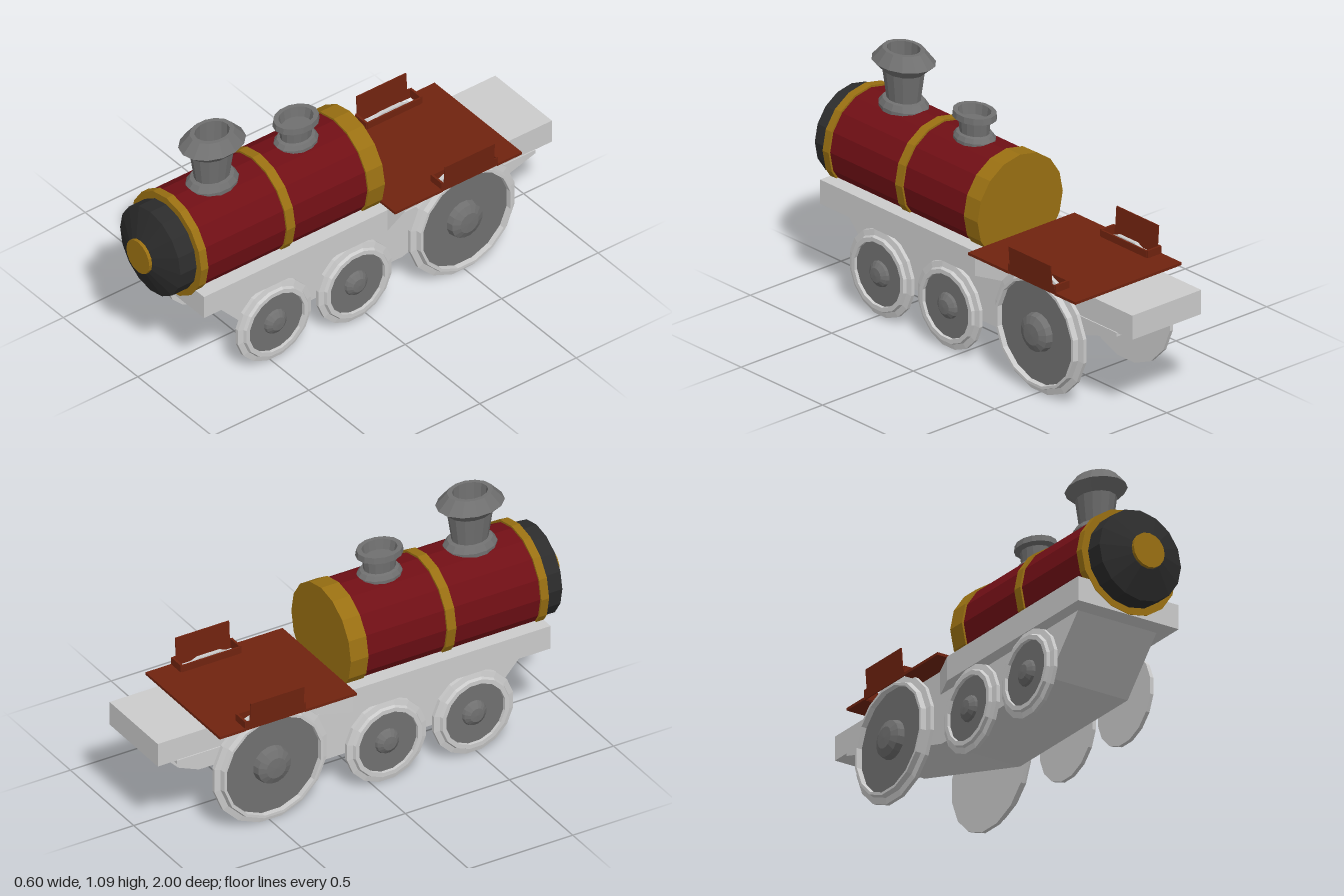
import * as THREE from 'three';

const mat = (color) => new THREE.MeshStandardMaterial({ color, flatShading: true, side: THREE.DoubleSide });
const GREY = mat(0xcccccc);
const DARK = mat(0x707070);
const BLACK = mat(0x2c2c2c);
const RED = mat(0x700f15);
const GOLD = mat(0x9a7012);
const RUST = mat(0x70230f);

const pts = (list) => list.map(([a, b]) => new THREE.Vector2(a, b));

function add(parent, name, geometry, material) {
  const mesh = new THREE.Mesh(geometry, material);
  mesh.name = name;
  parent.add(mesh);
  return mesh;
}

const lathe = (list, sides, start = 0) => new THREE.LatheGeometry(pts(list), sides, start);

// Horizontal plate: outline in (x, z), from height y up by h
function plate(outline, y, h) {
  const shape = new THREE.Shape(pts(outline.map(([x, z]) => [x, -z])));
  return new THREE.ExtrudeGeometry(shape, { depth: h, bevelEnabled: false }).rotateX(-Math.PI / 2).translate(0, y, 0);
}

// Side profile: outline in (z, y), spanning x0 to x1
function sideProfile(outline, x0, x1) {
  return new THREE.ExtrudeGeometry(new THREE.Shape(pts(outline)), { depth: x1 - x0, bevelEnabled: false })
    .rotateY(-Math.PI / 2).translate(x1, 0, 0);
}

// Outline of one half (+x), completed by its mirror image
const mirrored = (half) => [...half, ...half.map(([x, z]) => [-x, z]).reverse()];

// Round part along z, centred on the boiler axis
const AXIS_Y = 0.625;
const onAxis = (profile) => lathe(profile, 16).rotateX(Math.PI / 2).translate(0, AXIS_Y, 0);

function buildBoiler() {
  const g = new THREE.Group();
  g.name = 'boiler';
  add(g, 'boilerBarrel', onAxis([[0, -0.09], [0.226, -0.09], [0.226, 0.84], [0, 0.84]]), RED);
  for (const [z0, z1] of [[0.815, 0.852], [0.364, 0.407], [-0.1, -0.015]]) {
    add(g, 'boilerBand', onAxis([[0, z0], [0.235, z0], [0.235, z1], [0, z1]]), GOLD);
  }
  add(g, 'smokebox', onAxis([[0.203, 0.84], [0.203, 0.935], [0.08, 0.985], [0, 0.985]]), BLACK);
  add(g, 'smokeboxHub', onAxis([[0.077, 0.97], [0.077, 1], [0, 1]]), GOLD);

  // Funnel and steam dome are oval, longer along z
  const funnel = add(g, 'funnel', lathe([
    [0.094, 0.8], [0.094, 0.848], [0.079, 0.872], [0.064, 0.875], [0.079, 1.0],
    [0.119, 1.043], [0.079, 1.097], [0.062, 1.097], [0.056, 0.95], [0, 0.95],
  ], 14), DARK);
  funnel.scale.z = 1.27;
  funnel.position.z = 0.615;
  const dome = add(g, 'steamDome', lathe([
    [0.079, 0.8], [0.079, 0.85], [0.068, 0.868], [0.056, 0.872], [0.06, 0.93],
    [0.083, 0.938], [0.08, 0.965], [0.062, 0.965], [0.054, 0.92], [0, 0.92],
  ], 14), DARK);
  dome.scale.z = 1.27;
  dome.position.z = 0.18;
  return g;
}

// Wheel facing +x: flange, tread, recessed disc and domed hub
function buildWheel({ r, tread, inner, hub, face, tip }) {
  const g = new THREE.Group();
  g.name = 'wheel';
  const turn = (profile) => lathe(profile, 16, Math.PI / 16).rotateZ(-Math.PI / 2);
  add(g, 'wheelRim', turn([
    [0, 0.23], [r, 0.23], [r, 0.247], [tread, 0.252], [tread - 0.006, face], [inner, face], [inner, 0.245],
  ]), GREY);
  add(g, 'wheelDisc', turn([[inner, 0.25], [0, 0.25]]), DARK);
  add(g, 'wheelHub', turn([
    [hub, 0.25], [hub * 0.92, tip - 0.017], [hub * 0.55, tip - 0.002], [0, tip],
  ]), DARK);
  return g;
}

function buildWheels() {
  const g = new THREE.Group();
  g.name = 'wheels';
  const big = { r: 0.275, tread: 0.248, inner: 0.23, hub: 0.086, face: 0.275, tip: 0.296 };
  const small = { r: 0.193, tread: 0.168, inner: 0.143, hub: 0.058, face: 0.265, tip: 0.278 };
  for (const [spec, y, z] of [[big, 0.272, -0.493], [small, 0.2, 0.064], [small, 0.2, 0.482]]) {
    for (const turn of [0, Math.PI]) {
      const wheel = buildWheel(spec);
      wheel.rotation.y = turn;
      wheel.position.set(0, y, z);
      g.add(wheel);
    }
  }
  return g;
}

// Wheel opening surround on the +x side: low lips and a tall leaning panel
function buildFender() {
  const g = new THREE.Group();
  g.name = 'fender';
  add(g, 'innerLip', new THREE.BoxGeometry(0.008, 0.04, 0.28).translate(0.218, 0.522, -0.497), RUST);
  for (const z of [-0.355, -0.638]) {
    add(g, 'endLip', new THREE.BoxGeometry(0.074, 0.042, 0.01).translate(0.254, 0.523, z), RUST);
  }
  const panel = sideProfile([
    [-0.345, 0.5], [-0.357, 0.543], [-0.362, 0.543], [-0.362, 0.627],
    [-0.62, 0.627], [-0.62, 0.543], [-0.633, 0.543], [-0.645, 0.5],
  ], 0.286, 0.291);
  const p = panel.attributes.position;
  for (let i = 0; i < p.count; i++) p.setX(i, p.getX(i) + (p.getY(i) - 0.5) * 0.07);
  panel.computeVertexNormals();
  add(g, 'sidePanel', panel, RUST);
  return g;
}

function buildCab() {
  const g = new THREE.Group();
  g.name = 'cab';
  // Floor with a notch for each rear wheel
  add(g, 'cabFloor', plate(mirrored([
    [0.293, -0.107], [0.293, -0.355], [0.218, -0.355], [0.218, -0.638], [0.293, -0.638], [0.293, -0.765],
  ]), 0.499, 0.012), RUST);
  const left = buildFender();
  const right = buildFender();
  right.scale.x = -1;
  g.add(left, right);
  return g;
}

export function createModel() {
  const model = new THREE.Group();
  model.name = 'steamLocomotive';

  // Main frame narrows behind the boiler
  add(model, 'mainFrame', plate(mirrored([[0.25, 0.85], [0.25, -0.1], [0.19, -0.24], [0.19, -1]]), 0.39, 0.109), GREY);
  add(model, 'underframe', sideProfile([
    [0.77, 0.392], [0.56, 0.165], [-0.22, 0.165], [-0.91, 0.375], [-0.91, 0.392],
  ], -0.195, 0.195), GREY);

  model.add(buildBoiler(), buildWheels(), buildCab());
  return model;
}
